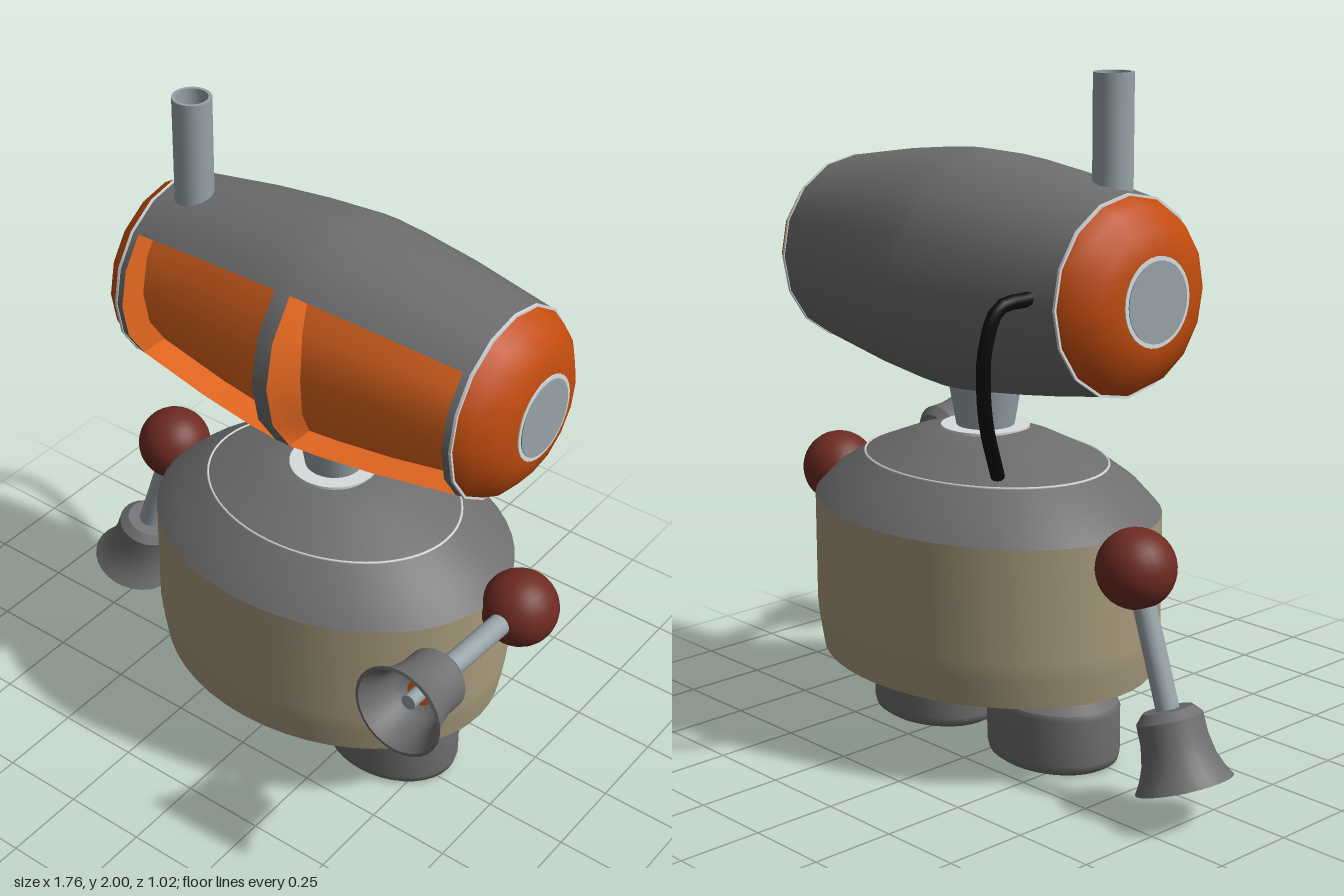
import * as THREE from 'three';
import { mergeGeometries } from 'three/addons/utils/BufferGeometryUtils.js';

const mat = (name, color, side = THREE.FrontSide) =>
  Object.assign(new THREE.MeshStandardMaterial({ color, side }), { name });
const grey = mat('grey', 0x6e6e70, THREE.DoubleSide);
const orange = mat('bright orange', 0xe56820, THREE.DoubleSide);
const rust = mat('dark orange', 0xc24c0e);
const steel = mat('pale steel', 0x97a3a8, THREE.DoubleSide);
const beige = mat('beige', 0xa89a7c);
const maroon = mat('maroon', 0x6e2b22);
const black = mat('black', 0x0c0c0c);
const white = mat('off white', 0xd8dcdc);

const CX = 0.105, CZ = -0.062; // centre line of head and body

function add(parent, name, geometry, material, x = 0, y = 0, z = 0) {
  const mesh = new THREE.Mesh(geometry, material);
  mesh.name = name;
  mesh.position.set(x, y, z);
  parent.add(mesh);
  return mesh;
}

// Lathe of [radius, height] sections; each section is smooth, with sharp edges between them
function lathe(sections, segments = 40) {
  return mergeGeometries(sections.map((s) =>
    new THREE.LatheGeometry(s.map(([r, y]) => new THREE.Vector2(r, y)), segments)));
}

// Surface through rows of points
function patch(rows) {
  const n = rows[0].length, index = [];
  for (let i = 0; i < rows.length - 1; i++) {
    for (let j = 0; j < n - 1; j++) {
      const a = i * n + j, b = a + n;
      index.push(a, b, a + 1, b, b + 1, a + 1);
    }
  }
  const g = new THREE.BufferGeometry().setFromPoints(rows.flat());
  g.setIndex(index);
  g.computeVertexNormals();
  return g;
}

function makeHead() {
  const head = new THREE.Group();
  head.name = 'head';
  head.position.set(CX, 1.41, CZ - 0.005);

  // Barrel shell with two openings at the front
  const half = [[0.025, 0.349], [0.12, 0.342], [0.3, 0.321], [0.545, 0.281], [0.57, 0.277]];
  const profile = [...half.map(([x, r]) => [r, -x]).reverse(), ...half.map(([x, r]) => [r, x])];
  const shell = lathe([profile], 16);
  const cells = profile.length - 1, source = shell.index.array, kept = [];
  for (let c = 0; c < source.length / 6; c++) {
    const seg = Math.floor(c / cells), j = c % cells;
    const open = (seg < 2 || seg > 13) && j !== 0 && j !== 4 && j !== 8;
    if (!open) kept.push(...source.slice(c * 6, c * 6 + 6));
  }
  shell.setIndex(kept);
  shell.rotateZ(-Math.PI / 2);
  add(head, 'headBarrel', shell, grey);

  // Sunken front panels with their side walls
  const angles = [-2, -1, 0, 1, 2].map((k) => k * Math.PI / 8);
  const sides = half.slice(0, 4);
  for (const s of [-1, 1]) {
    const rim = sides.map(([x, r]) => angles.map((a) =>
      new THREE.Vector3(s * x, r * Math.sin(a), r * Math.cos(a))));
    const floor = rim.map((row, i) => row.map((p, k) => new THREE.Vector3(
      p.x + (i === 0 ? s * 0.045 * Math.cos(2 * angles[k]) : 0), p.y, p.z - 0.09)));
    const column = (rows, k) => rows.map((row) => row[k]);
    const panel = mergeGeometries([
      patch(floor),
      patch([rim[0], floor[0]]), patch([rim[3], floor[3]]),
      patch([column(rim, 0), column(floor, 0)]), patch([column(rim, 4), column(floor, 4)]),
    ]);
    add(head, s > 0 ? 'leftFacePanel' : 'rightFacePanel', panel, orange);

    // End cap with seam ring and round plate
    const cap = new THREE.Group();
    cap.name = s > 0 ? 'leftCap' : 'rightCap';
    cap.position.x = s * 0.57;
    cap.rotation.z = -s * Math.PI / 2;
    head.add(cap);
    add(cap, 'capDome', lathe([[[0.275, 0], [0.25, 0.045], [0.19, 0.088], [0.125, 0.107], [0, 0.107]]], 16), rust);
    add(cap, 'capSeam', new THREE.CylinderGeometry(0.28, 0.28, 0.008, 16), white);
    add(cap, 'capPlateRim', new THREE.CylinderGeometry(0.124, 0.124, 0.006, 32), white, 0, 0.107);
    add(cap, 'capPlate', new THREE.CylinderGeometry(0.112, 0.112, 0.009, 32), steel, 0, 0.108);
  }
  return head;
}

// Arm built along +y from the shoulder, then turned to its direction
function makeArm(name, position, direction) {
  const arm = new THREE.Group();
  arm.name = name;
  arm.position.set(...position);
  arm.quaternion.setFromUnitVectors(new THREE.Vector3(0, 1, 0), new THREE.Vector3(...direction).normalize());
  add(arm, 'shoulderBall', new THREE.SphereGeometry(0.113, 28, 18), maroon);
  add(arm, 'armRod', new THREE.CylinderGeometry(0.033, 0.033, 0.4, 20), steel, 0, 0.25);
  add(arm, 'bellHand', lathe([
    [[0.03, 0.39], [0.07, 0.39]],
    [[0.07, 0.39], [0.093, 0.415]],
    [[0.093, 0.415], [0.094, 0.475], [0.104, 0.53], [0.12, 0.57], [0.138, 0.6]],
    [[0.138, 0.6], [0.128, 0.602]],
    [[0.128, 0.602], [0.1, 0.555], [0.085, 0.5], [0.08, 0.44], [0, 0.44]],
  ], 28), grey);
  add(arm, 'handCollar', new THREE.CylinderGeometry(0.038, 0.038, 0.06, 20), orange, 0, 0.47);
  add(arm, 'handTip', new THREE.CylinderGeometry(0.022, 0.022, 0.1, 16), steel, 0, 0.5);
  return arm;
}

export function createModel() {
  const model = new THREE.Group();
  model.name = 'robot';
  model.add(makeHead());

  // Hollow antenna pipe
  add(model, 'antenna', lathe([
    [[0.056, 1.62], [0.056, 2]], [[0.056, 2], [0.046, 2]],
    [[0.046, 2], [0.046, 1.68]], [[0.046, 1.68], [0, 1.68]],
  ], 24), steel, -0.362, 0, -0.022);

  // Neck
  add(model, 'neck', new THREE.CylinderGeometry(0.118, 0.083, 0.2, 28), steel, CX, 1.045, CZ);
  add(model, 'neckRing', new THREE.CylinderGeometry(0.13, 0.13, 0.008, 32), white, CX, 0.953, CZ);

  // Oval body
  const body = new THREE.Group();
  body.name = 'body';
  body.position.set(CX, 0, CZ);
  body.scale.z = 0.783;
  model.add(body);
  add(body, 'bodyShell', lathe([
    [[0, 0.265], [0.55, 0.265]],
    [[0.55, 0.265], [0.564, 0.345], [0.57, 0.4], [0.57, 0.73]],
  ], 48), beige);
  add(body, 'bodyTop', lathe([
    [[0.57, 0.73], [0.5, 0.797], [0.4, 0.86]],
    [[0.4, 0.86], [0.25, 0.92], [0.13, 0.952], [0, 0.952]],
  ], 48), grey);
  const seam = add(body, 'bodySeam', new THREE.TorusGeometry(0.4, 0.004, 6, 64), white, 0, 0.86);
  seam.rotation.x = Math.PI / 2;

  // Oval feet with ankles
  for (const s of [-1, 1]) {
    const foot = add(model, s > 0 ? 'leftFoot' : 'rightFoot', lathe([
      [[0, 0], [0.19, 0]],
      [[0.19, 0], [0.21, 0.012], [0.217, 0.035], [0.217, 0.17], [0.21, 0.185]],
      [[0.21, 0.185], [0.153, 0.225]],
      [[0.153, 0.225], [0.148, 0.28]],
    ], 36), grey, CX + s * 0.257, 0, -0.035);
    foot.scale.z = 0.785;
  }

  // Arms: left reaches forward, right hangs down
  model.add(makeArm('leftArm', [0.74, 0.708, -0.098], [0, 0.045, 0.6]));
  model.add(makeArm('rightArm', [-0.56, 0.682, -0.122], [-0.192, -0.562, -0.005]));

  // Cable from head to body at the back
  const path = new THREE.CatmullRomCurve3([
    [-0.378, 1.43, -0.34], [-0.368, 1.415, -0.45], [-0.355, 1.31, -0.486],
    [-0.325, 1.2, -0.465], [-0.27, 1.08, -0.405], [-0.14, 0.87, -0.24],
  ].map((p) => new THREE.Vector3(...p)));
  add(model, 'cable', new THREE.TubeGeometry(path, 24, 0.02, 10), black);

  return model;
}
